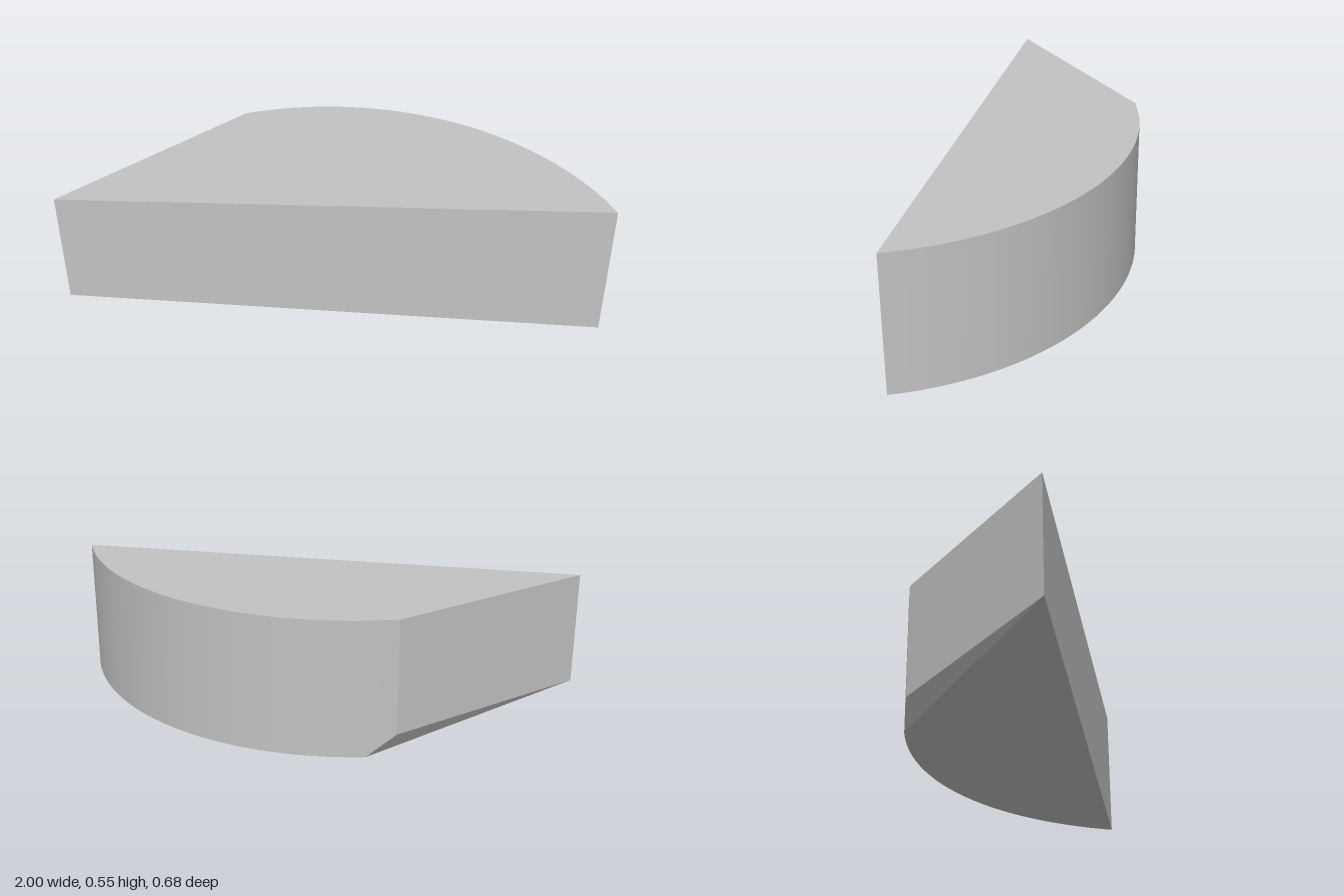
import * as THREE from 'three';
import { toCreasedNormals } from 'three/addons/utils/BufferGeometryUtils.js';

const HEIGHT = 0.545;
const RADIUS = 1.101;
const CENTER_Z = 0.761;
const STEPS = 40;

// Point on the curved back wall, as [x, bottom y, z]
function arcPoint(x, y = 0) {
  return [x, y, CENTER_Z - Math.sqrt(RADIUS * RADIUS - x * x)];
}

export function createModel() {
  const grey = new THREE.MeshStandardMaterial({ color: 0xc2c2c2 });
  grey.name = 'light grey';

  // Bottom outline: raised tip, then the arc, then the raised back corner
  const tip = [-1, 0.095, 0.337];
  const corner = arcPoint(-0.38, 0.088);
  const a0 = Math.asin(1 / RADIUS), a1 = Math.asin(-0.27 / RADIUS);
  const arc = [];
  for (let i = 0; i <= STEPS; i++) {
    arc.push(arcPoint(RADIUS * Math.sin(a0 + (a1 - a0) * i / STEPS)));
  }
  const outline = [tip, ...arc, corner];
  const lift = (p) => [p[0], HEIGHT, p[2]];

  const positions = [];
  const tri = (a, b, c) => positions.push(...a, ...b, ...c);

  // Side walls
  outline.forEach((p, i) => {
    const q = outline[(i + 1) % outline.length];
    tri(p, q, lift(q));
    tri(p, lift(q), lift(p));
  });

  // Flat top
  for (let i = 1; i < outline.length - 1; i++) {
    tri(lift(tip), lift(outline[i]), lift(outline[i + 1]));
  }

  // Level underside, then the slopes rising to the tip and the back corner
  const first = arc[0], last = arc[STEPS];
  for (let i = 0; i < STEPS - 1; i++) tri(last, arc[i + 1], arc[i]);
  tri(tip, last, first);
  tri(tip, corner, last);

  const geometry = new THREE.BufferGeometry();
  geometry.setAttribute('position', new THREE.Float32BufferAttribute(positions, 3));

  const block = new THREE.Mesh(toCreasedNormals(geometry, 0.35), grey);
  block.name = 'curvedBlock';

  const group = new THREE.Group();
  group.name = 'curvedWedge';
  group.add(block);
  return group;
}
